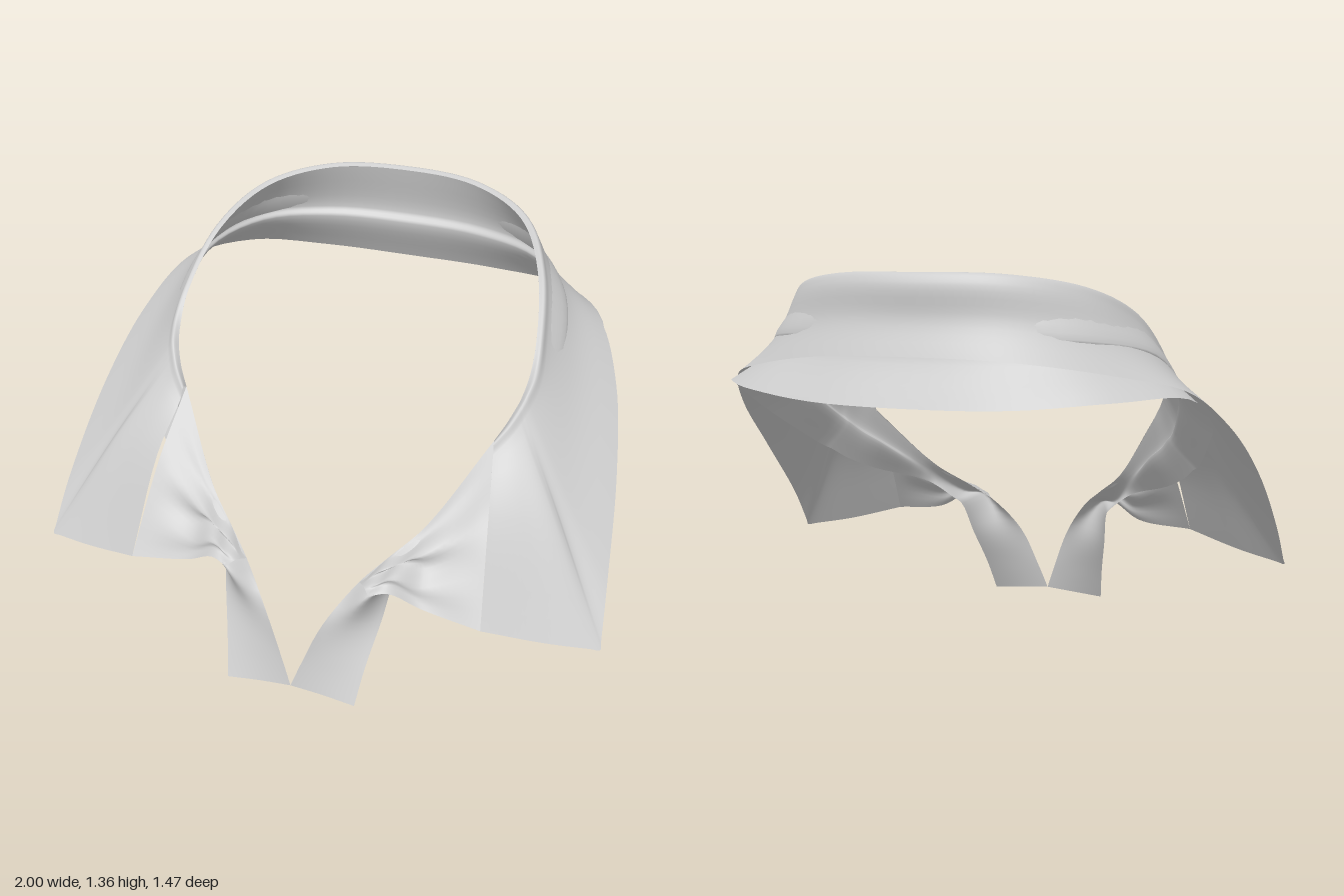
import * as THREE from 'three';

const material = new THREE.MeshStandardMaterial({ color: 0xcccccc, side: THREE.DoubleSide });
const v = (p) => new THREE.Vector3(...p);
const flip = (p) => new THREE.Vector3(-p.x, p.y, p.z);
const smooth = (pts) => new THREE.CatmullRomCurve3(pts, false, 'centripetal');

// Point part way from a to b, raised by lift
function between(a, b, t, lift = 0) {
  const p = a.clone().lerp(b, t);
  p.y += lift;
  return p;
}

// Smooth cloth sheet through a row of cross-sections, with a number of steps between each pair
function sheet(name, rows, stepsPerRow, stepsAcross, ripple) {
  const fine = rows.map((row) => {
    const curve = smooth(row);
    return Array.from({ length: stepsAcross + 1 }, (_, j) => curve.getPoint(j / stepsAcross));
  });
  const rails = Array.from({ length: stepsAcross + 1 }, (_, j) => smooth(fine.map((r) => r[j])));
  const pos = [], index = [], w = stepsAcross + 1, stepsAlong = stepsPerRow * (rows.length - 1);
  for (let i = 0; i <= stepsAlong; i++) {
    for (let j = 0; j <= stepsAcross; j++) {
      const p = rails[j].getPoint(i / stepsAlong);
      if (ripple) ripple(p, i / stepsAlong, j / stepsAcross);
      pos.push(p.x, p.y, p.z);
      if (i < stepsAlong && j < stepsAcross) {
        const a = i * w + j;
        index.push(a, a + 1, a + w, a + 1, a + w + 1, a + w);
      }
    }
  }
  const geo = new THREE.BufferGeometry();
  geo.setAttribute('position', new THREE.Float32BufferAttribute(pos, 3));
  geo.setIndex(index);
  geo.computeVertexNormals();
  const mesh = new THREE.Mesh(geo, material);
  mesh.name = name;
  return mesh;
}

// Half the sections, centre back first, become the whole collar
const mirrored = (rows) => [...rows.slice(1).reverse().map((r) => r.map(flip)), ...rows];

// Neck fold line, from centre back to the front
const fold = [
  [0, 1.355, -0.63], [0.27, 1.35, -0.585], [0.47, 1.31, -0.45], [0.58, 1.22, -0.23],
  [0.625, 1.07, -0.02], [0.625, 0.99, 0.06], [0.615, 0.945, 0.11], [0.608, 0.925, 0.13],
  [0.603, 0.915, 0.14], [0.598, 0.905, 0.15], [0.58, 0.87, 0.18], [0.55, 0.82, 0.215],
].map(v);

// Free edge of the fall, turning sharply at the outer corner towards the collar point
const fallEdge = [
  [0, 1.11, -0.713], [0.32, 1.1, -0.68], [0.61, 1.055, -0.54], [0.79, 1, -0.38],
  [0.89, 0.87, -0.18], [0.95, 0.68, 0.08], [0.985, 0.43, 0.36], [0.998, 0.29, 0.475],
  [1, 0.265, 0.495], [0.97, 0.27, 0.505], [0.82, 0.295, 0.55], [0.62, 0.345, 0.61],
].map(v);

// Lower edge of the stand
const standEdge = [
  [0, 0.955, -0.735], [0.34, 0.962, -0.715], [0.62, 0.985, -0.62], [0.8, 0.98, -0.4],
  [0.83, 0.86, -0.15], [0.79, 0.77, -0.01], [0.75, 0.7, 0.1], [0.735, 0.68, 0.13],
  [0.725, 0.67, 0.145], [0.71, 0.66, 0.16], [0.67, 0.62, 0.21], [0.59, 0.57, 0.29],
].map(v);

// Twisted front end: lower edge, front, neck edge
const frontEnd = [
  [[0.42, 0.5, 0.44], [0.405, 0.54, 0.44], [0.38, 0.575, 0.42]],
  [[0.33, 0.43, 0.49], [0.32, 0.44, 0.59], [0.28, 0.49, 0.51]],
  [[0.305, 0.4, 0.52], [0.25, 0.42, 0.645], [0.2, 0.42, 0.58]],
  [[0.28, 0.27, 0.59], [0.18, 0.28, 0.645], [0.1, 0.28, 0.67]],
  [[0.25, 0.13, 0.67], [0.13, 0.12, 0.695], [0.035, 0.12, 0.71]],
  [[0.23, 0, 0.735], [0.11, 0.012, 0.73], [0, 0.022, 0.73]],
].map((row) => row.map(v));

// Lower fold of the gathered cloth, from the collar point inwards
const gatherEdge = [fallEdge[11], ...[[0.42, 0.37, 0.595], [0.31, 0.43, 0.62], [0.25, 0.425, 0.645]].map(v)];

export function createModel() {
  const group = new THREE.Group();
  group.name = 'collar';

  // Inner stand with a ledge at the seam, running on into the front ends
  const stand = fold.map((top, i) => {
    const low = standEdge[i];
    const inward = new THREE.Vector3(-top.x, 0, -top.z).normalize();
    const seam = between(low, top, 0.44).addScaledVector(inward, 0.04);
    const step = between(low, top, 0.53).addScaledVector(inward, 0.01);
    return [low, seam, step, top];
  });
  group.add(sheet('stand', mirrored([...stand, ...frontEnd]), 5, 18));

  // Outer fall, rounded over the fold, hollow at the sides and fuller towards the collar points
  const fall = fold.map((top, i) => {
    const edge = fallEdge[i];
    const out = edge.clone().sub(top).setY(0).normalize();
    const crest = between(top, edge, 0, 0.008).addScaledVector(out, 0.02);
    const outer = between(top, edge, 0, -0.03).addScaledVector(out, 0.042);
    const lift = i < 3 ? -0.01 : Math.max(-0.025, 0.015 * (i - 6));
    return [top, crest, outer, between(top, edge, 0.5, lift), edge];
  });
  group.add(sheet('fall', mirrored(fall), 7, 20));

  // Gathered cloth tucked under the fall, with creases fading at its borders
  const crease = (p, s, t) => {
    const fade = Math.sin(Math.PI * s) * Math.sin(Math.PI * t);
    p.z += 0.018 * fade * Math.sin(16 * t + 5 * s);
    p.y += 0.01 * fade * Math.sin(11 * s - 7 * t);
  };
  const neck = [fold[11], ...frontEnd.slice(0, 3).map((row) => row[2])];
  const gather = neck.map((top, i) => [top, between(top, gatherEdge[i], 0.5, 0.04 - 0.01 * i), gatherEdge[i]]);
  group.add(sheet('leftGather', gather, 9, 20, crease));
  group.add(sheet('rightGather', gather.map((row) => row.map(flip)), 9, 20, crease));
  return group;
}
